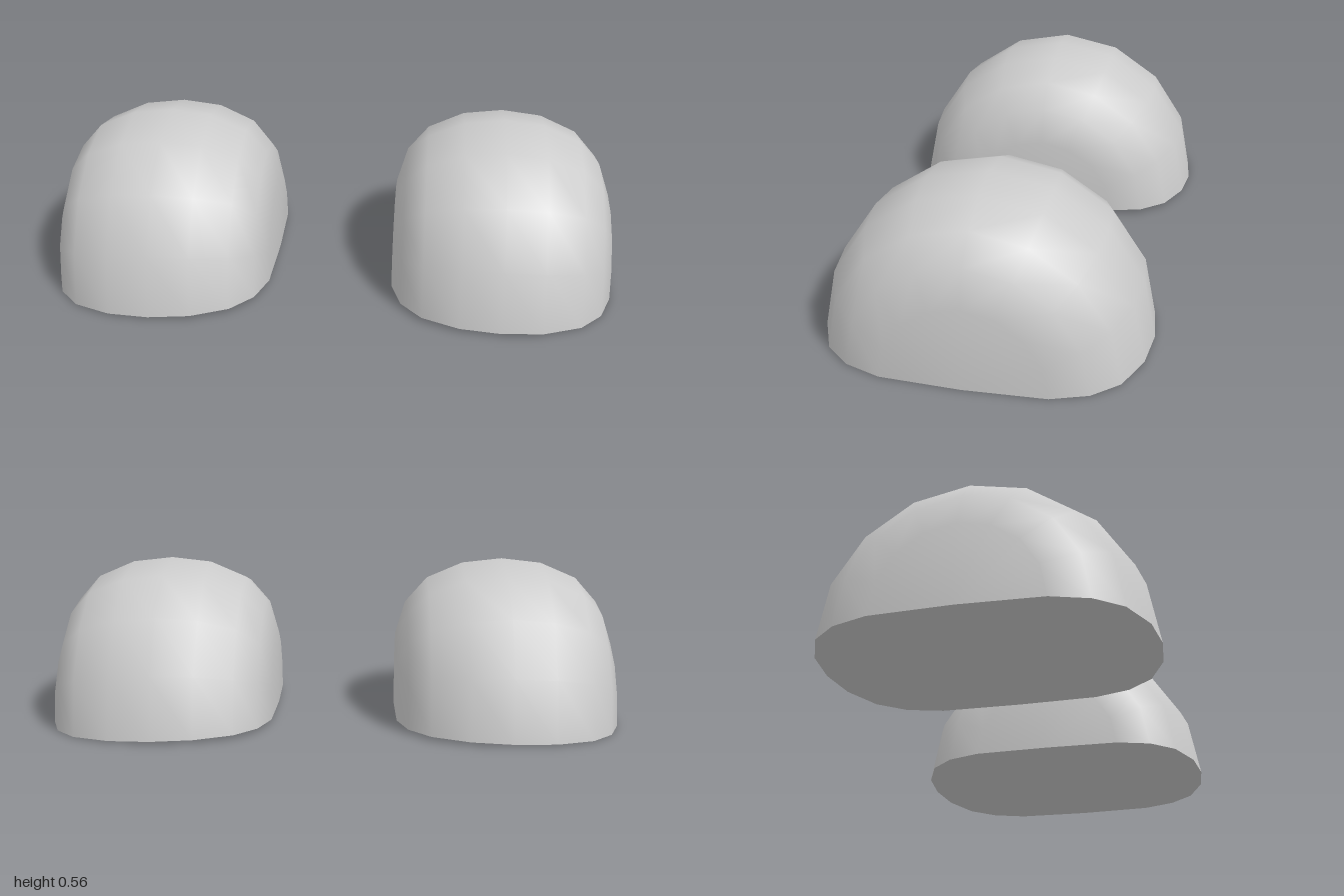
import * as THREE from 'three';
import { mergeVertices } from 'three/addons/utils/BufferGeometryUtils.js';

const material = new THREE.MeshStandardMaterial({ color: 0xcccccc, side: THREE.DoubleSide });
const SEGMENTS = 8;

// Profile from the inner pole to the outer pole as [x, radius]
const profile = [
  [-0.388, 0], [-0.382, 0.27], [-0.345, 0.39], [-0.27, 0.475], [-0.142, 0.53], [0, 0.546],
  [0.142, 0.53], [0.27, 0.475], [0.345, 0.39], [0.387, 0.27], [0.398, 0],
];

// The rim drops slightly toward the outer side
const rimY = x => 0.008 - 0.018 * x;

// Surface from a grid of points, one row per profile station
function gridGeometry(rows) {
  const n = rows[0].length;
  const index = [];
  for (let i = 0; i < rows.length - 1; i++) {
    for (let j = 0; j < n - 1; j++) {
      const a = i * n + j, b = a + n;
      index.push(a, b, a + 1, b, b + 1, a + 1);
    }
  }
  const geometry = new THREE.BufferGeometry();
  geometry.setAttribute('position', new THREE.Float32BufferAttribute(rows.flat(2), 3));
  geometry.setIndex(index);
  const merged = mergeVertices(geometry);
  merged.computeVertexNormals();
  return merged;
}

// Half turn of the profile around the x axis
const shellRows = profile.map(([x, r]) => Array.from({ length: SEGMENTS + 1 }, (_, j) => {
  const a = Math.PI * j / SEGMENTS;
  const s = r === 0 ? 0 : Math.sin(a);
  return [x, rimY(x) * (1 - s) + (0.01 + r) * s, r * Math.cos(a)];
}));

// Flat underside spanning the rim from back to front
const undersideRows = profile.map(([x, r]) => [[x, rimY(x), -r], [x, rimY(x), r]]);

export function createModel() {
  const model = new THREE.Group();
  model.name = 'domePair';
  const shell = gridGeometry(shellRows);
  const underside = gridGeometry(undersideRows);

  // Two domes, the second turned round so its outer side faces -x
  for (const side of [1, -1]) {
    const dome = new THREE.Group();
    dome.name = side > 0 ? 'leftDome' : 'rightDome';
    const outer = new THREE.Mesh(shell, material);
    outer.name = 'domeShell';
    const bottom = new THREE.Mesh(underside, material);
    bottom.name = 'domeUnderside';
    dome.add(outer, bottom);
    dome.position.x = side * 0.602;
    dome.rotation.y = side > 0 ? 0 : Math.PI;
    model.add(dome);
  }
  return model;
}
